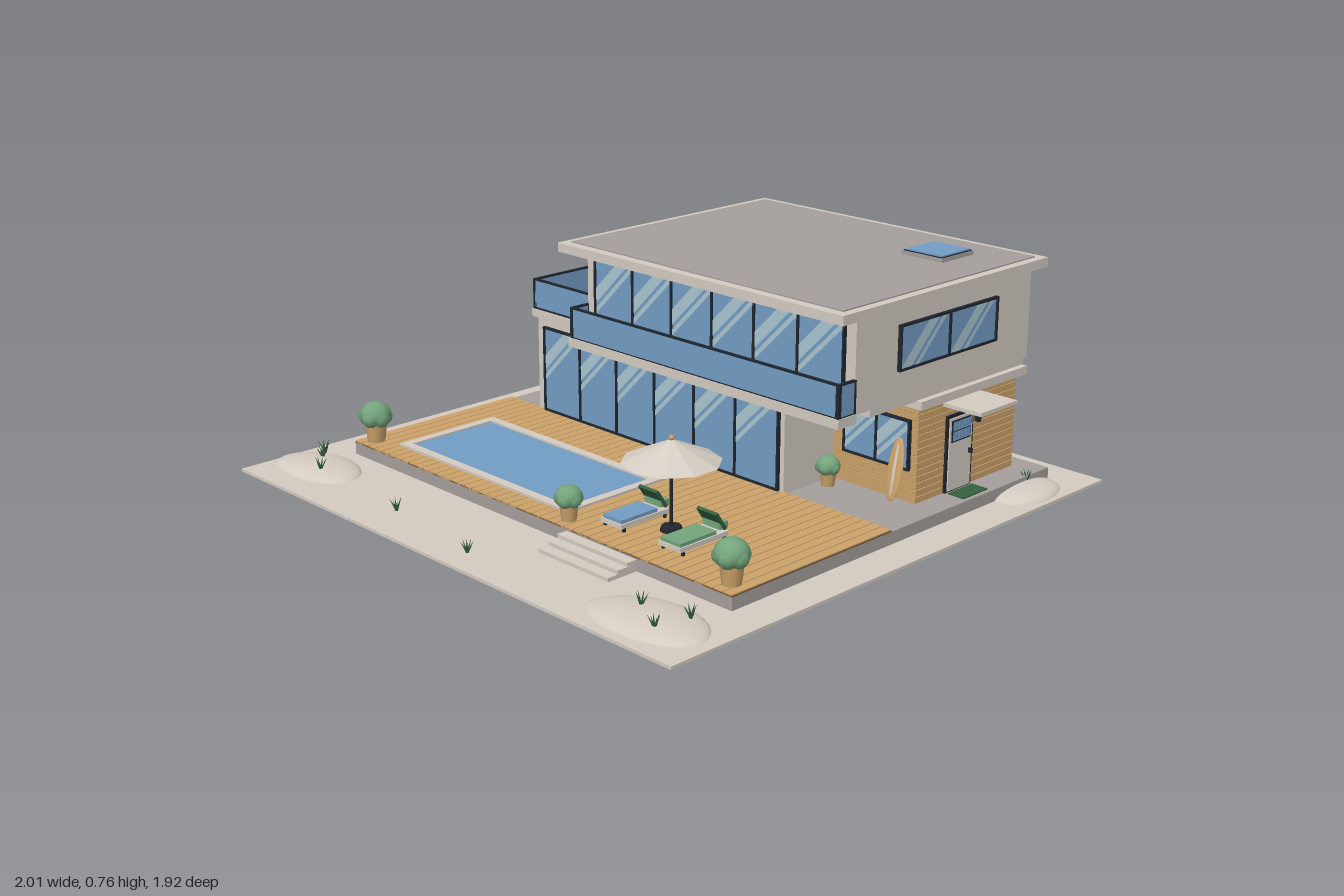
import * as THREE from 'three';

const mat = (name, color, side = THREE.FrontSide) => {
  const m = new THREE.MeshStandardMaterial({ color, side });
  m.name = name;
  return m;
};

export function createModel() {
  const M = {
    wall: mat('pale plaster', 0xd4ccc2),
    grey: mat('grey concrete', 0xa5a09d),
    wood: mat('wood', 0xcca26a),
    darkWood: mat('dark wood', 0x7a5a38),
    glass: mat('blue glass', 0x739cc4),
    shine: mat('glass reflection', 0xabc6cf, THREE.DoubleSide),
    frame: mat('dark frame', 0x20262e),
    green: mat('leaf green', 0x74a57c),
    darkGreen: mat('dark green', 0x35613f),
  };
  const root = new THREE.Group();
  root.name = 'house';
  const group = (name, parent = root) => {
    const g = new THREE.Group();
    g.name = name;
    parent.add(g);
    return g;
  };
  const add = (name, geo, m, x = 0, y = 0, z = 0, parent = root) => {
    const mesh = new THREE.Mesh(geo, m);
    mesh.name = name;
    mesh.position.set(x, y, z);
    parent.add(mesh);
    return mesh;
  };
  // box given by its minimum and maximum on each axis
  const box = (name, m, x0, x1, y0, y1, z0, z1, parent = root) =>
    add(name, new THREE.BoxGeometry(x1 - x0, y1 - y0, z1 - z0), m,
      (x0 + x1) / 2, (y0 + y1) / 2, (z0 + z1) / 2, parent);

  // keeps the part of a polygon where side * (y - x - u) >= 0
  const clip = (pts, u, side) => {
    const out = [], d = p => side * (p[1] - p[0] - u);
    pts.forEach((p, i) => {
      const q = pts[(i + 1) % pts.length], a = d(p), b = d(q);
      if (a >= 0) out.push(p);
      if (a * b < 0) out.push([p[0] + (q[0] - p[0]) * a / (a - b), p[1] + (q[1] - p[1]) * a / (a - b)]);
    });
    return out;
  };

  // row of panes with dark bars and diagonal reflections, facing local +z
  const windowRow = (name, w, h, n, x, y, z, turn = 0) => {
    const g = group(name);
    g.position.set(x, y, z);
    g.rotation.y = turn;
    const pw = w / n, t = 0.007;
    box('glass', M.glass, -w / 2, w / 2, 0, h, -0.004, 0.004, g);
    for (let i = 0; i <= n; i++) {
      const bx = -w / 2 + i * pw;
      box('bar', M.frame, bx - t / 2, bx + t / 2, 0, h, -0.004, 0.01, g);
    }
    for (const by of [0, h]) box('rail', M.frame, -w / 2 - t / 2, w / 2 + t / 2, by - t / 2, by + t / 2, -0.004, 0.01, g);
    const rect = [[0, 0], [pw, 0], [pw, h], [0, h]];
    for (let i = 0; i < n; i++)
      for (const [off, bw] of [[-pw * 0.7, 0.05], [-pw * 0.7 - 0.05, 0.02]]) {
        const poly = clip(clip(rect, h + off - bw / 2, 1), h + off + bw / 2, -1);
        if (poly.length < 3) continue;
        const shape = new THREE.Shape(poly.map(p => new THREE.Vector2(p[0], p[1])));
        add('reflection', new THREE.ShapeGeometry(shape), M.shine, -w / 2 + i * pw, 0, 0.0055, g);
      }
  };

  // planks running along z, over a dark base
  const planks = (name, x0, x1, y0, y1, z0, z1, n) => {
    const g = group(name), p = (x1 - x0) / n;
    box('base', M.darkWood, x0, x1, y0, y1 - 0.003, z0, z1, g);
    for (let i = 0; i < n; i++) box('plank', M.wood, x0 + i * p + 0.0015, x0 + (i + 1) * p - 0.0015, y0, y1, z0, z1, g);
  };

  // ground, plinth, deck, steps
  box('ground', M.wall, -1, 1, 0, 0.01, -0.96, 0.96);
  box('plinth', M.grey, -0.86, 0.875, 0.01, 0.05, -0.84, 0.61);
  box('backPath', M.wall, -0.57, 0.18, 0.005, 0.025, -0.962, -0.84);
  planks('deck', -0.86, 0.875, 0.05, 0.057, -0.06, 0.61, 48);
  for (let i = 0; i < 3; i++) box('step', M.wall, 0.2, 0.5, 0.01, 0.022 + i * 0.012, 0.61, 0.72 - i * 0.037);

  // pool
  box('poolWater', M.glass, -0.69, 0.1, 0.05, 0.059, 0.165, 0.515);
  box('poolRim', M.wall, -0.715, 0.12, 0.05, 0.065, 0.145, 0.175);
  box('poolRim', M.wall, -0.715, 0.12, 0.05, 0.065, 0.505, 0.535);
  box('poolRim', M.wall, -0.715, -0.685, 0.05, 0.065, 0.175, 0.505);
  box('poolRim', M.wall, 0.09, 0.12, 0.05, 0.065, 0.175, 0.505);

  // lower storey
  box('lowerWalls', M.wall, -0.7, 0.45, 0.05, 0.385, -0.78, -0.055);
  box('lowerSlab', M.wall, -0.72, 0.79, 0.385, 0.412, -0.79, -0.045);
  windowRow('lowerFrontWindows', 1.09, 0.293, 6, -0.115, 0.062, -0.053);
  windowRow('lowerBackWindows', 0.5, 0.16, 3, -0.37, 0.17, -0.782, Math.PI);
  windowRow('lowerLeftWindows', 0.5, 0.16, 2, -0.702, 0.17, -0.39, -Math.PI / 2);

  // timber wing
  box('wingCore', M.darkWood, 0.44, 0.779, 0.05, 0.36, -0.764, -0.286);
  const cladding = group('wingCladding');
  for (let i = 0; i < 14; i++) {
    const y = 0.05 + i * 0.022;
    box('board', M.wood, 0.44, 0.783, y, y + 0.0195, -0.768, -0.282, cladding);
  }
  box('wingRoof', M.wall, 0.45, 0.81, 0.36, 0.387, -0.785, -0.26);
  windowRow('wingWindow', 0.255, 0.155, 2, 0.628, 0.155, -0.28);

  // entrance
  const door = group('entrance');
  box('doorFrame', M.frame, 0.78, 0.79, 0.05, 0.3, -0.545, -0.415, door);
  box('doorLeaf', M.wall, 0.78, 0.794, 0.055, 0.29, -0.535, -0.425, door);
  box('doorLightFrame', M.frame, 0.78, 0.796, 0.212, 0.282, -0.527, -0.433, door);
  for (let i = 0; i < 3; i++)
    for (let j = 0; j < 2; j++) {
      const z = -0.523 + i * 0.029, y = 0.217 + j * 0.032;
      box('doorLight', M.glass, 0.78, 0.798, y, y + 0.028, z, z + 0.026, door);
    }
  box('doorHandle', M.frame, 0.79, 0.806, 0.16, 0.175, -0.528, -0.52, door);
  box('wallLamp', M.frame, 0.78, 0.8, 0.25, 0.29, -0.572, -0.56, door);
  box('canopy', M.wall, 0.78, 0.925, 0.335, 0.347, -0.58, -0.4, door);
  box('doormat', M.darkGreen, 0.8, 0.86, 0.05, 0.054, -0.54, -0.42, door);

  // upper storey
  box('upperWalls', M.wall, -0.345, 0.795, 0.41, 0.705, -0.8, 0.03);
  windowRow('upperFrontWindows', 1.056, 0.25, 6, 0.227, 0.425, 0.032);
  windowRow('upperRightWindows', 0.46, 0.135, 2, 0.797, 0.505, -0.39, Math.PI / 2);
  windowRow('upperBackWindows', 0.935, 0.14, 4, 0.212, 0.505, -0.802, Math.PI);
  windowRow('terraceDoors', 0.43, 0.25, 2, -0.347, 0.42, -0.295, -Math.PI / 2);

  // roof and skylight
  box('roof', M.wall, -0.375, 0.83, 0.703, 0.733, -0.835, 0.13);
  box('roofSurface', M.grey, -0.345, 0.802, 0.73, 0.737, -0.805, 0.098);
  box('skylightFrame', M.grey, 0.5, 0.657, 0.73, 0.75, -0.683, -0.527);
  box('skylightEdge', M.frame, 0.503, 0.654, 0.745, 0.752, -0.68, -0.53);
  box('skylightGlass', M.glass, 0.508, 0.649, 0.745, 0.756, -0.675, -0.535);

  // balcony and terrace
  box('balconySlab', M.wall, -0.36, 0.8, 0.385, 0.415, 0.025, 0.105);
  planks('terraceFloor', -0.685, -0.345, 0.41, 0.42, -0.76, -0.06, 12);
  const railing = (name, x0, x1, z0, z1) => {
    const g = group(name);
    box('panel', M.glass, x0, x1, 0.415, 0.514, z0, z1, g);
    for (const y of [0.412, 0.512]) box('rail', M.frame, x0 - 0.002, x1 + 0.002, y, y + 0.006, z0 - 0.002, z1 + 0.002, g);
    for (const x of [x0, x1]) for (const z of [z0, z1])
      box('post', M.frame, x - 0.003, x + 0.003, 0.412, 0.517, z - 0.003, z + 0.003, g);
  };
  railing('balconyFrontRailing', -0.35, 0.795, 0.094, 0.1);
  railing('balconyLeftRailing', -0.35, -0.344, 0.03, 0.1);
  railing('balconyRightRailing', 0.789, 0.795, 0.03, 0.1);
  railing('terraceLeftRailing', -0.714, -0.708, -0.775, -0.055);
  railing('terraceFrontRailing', -0.714, -0.35, -0.058, -0.052);

  // parasol
  const parasol = group('parasol');
  add('pole', new THREE.CylinderGeometry(0.005, 0.005, 0.28, 8), M.frame, 0.43, 0.195, 0.405, parasol);
  add('foot', new THREE.CylinderGeometry(0.03, 0.035, 0.015, 12), M.frame, 0.43, 0.064, 0.405, parasol);
  const canopyMat = M.wall.clone();
  canopyMat.side = THREE.DoubleSide;
  const shade = new THREE.ConeGeometry(0.15, 0.068, 10, 1, true);
  add('shade', shade.toNonIndexed(), canopyMat, 0.43, 0.306, 0.405, parasol).geometry.computeVertexNormals();
  add('tip', new THREE.SphereGeometry(0.009, 8, 6), M.wood, 0.43, 0.343, 0.405, parasol);

  // sun loungers
  for (const [x, pad] of [[0.305, M.glass], [0.55, M.green]]) {
    const g = group('lounger');
    box('bed', M.wall, x - 0.045, x + 0.045, 0.07, 0.084, 0.335, 0.53, g);
    box('mattress', pad, x - 0.04, x + 0.04, 0.084, 0.095, 0.38, 0.525, g);
    for (const sx of [-1, 1]) for (const z of [0.35, 0.515])
      box('leg', M.frame, x + sx * 0.04 - 0.004, x + sx * 0.04 + 0.004, 0.057, 0.07, z - 0.004, z + 0.004, g);
    const back = add('backrest', new THREE.BoxGeometry(0.08, 0.068, 0.01), M.darkGreen, x, 0.117, 0.36, g);
    back.rotation.x = 0.6;
    add('pillow', new THREE.BoxGeometry(0.07, 0.02, 0.035), M.green, x, 0.1, 0.345, g);
  }

  // surfboard leaning on the timber wall
  const board = group('surfboard');
  board.position.set(0.725, 0.155, -0.252);
  board.rotation.x = -0.2;
  const hull = new THREE.SphereGeometry(1, 20, 16);
  hull.scale(0.029, 0.1, 0.006);
  add('hull', hull, M.wood, 0, 0, 0, board);
  const stripe = new THREE.SphereGeometry(1, 12, 12);
  stripe.scale(0.009, 0.094, 0.0075);
  add('stripe', stripe, M.wall, 0, 0, 0, board);

  // potted bushes
  for (const [x, z, r, y0] of [[-0.81, 0.56, 0.052, 0.057], [0.16, 0.565, 0.042, 0.057], [0.82, 0.555, 0.052, 0.057], [0.49, -0.215, 0.038, 0.05]]) {
    const g = group('pottedBush');
    add('pot', new THREE.CylinderGeometry(r * 0.7, r * 0.55, r * 1.15, 12), M.wood, x, y0 + r * 0.575, z, g);
    add('bush', new THREE.SphereGeometry(r, 14, 10), M.green, x, y0 + r * 1.75, z, g).scale.y = 0.85;
    for (let i = 0; i < 5; i++) {
      const a = i * 1.257;
      add('leafClump', new THREE.SphereGeometry(r * 0.6, 8, 6), M.green, x + Math.cos(a) * r * 0.5, y0 + r * 1.6, z + Math.sin(a) * r * 0.5, g);
    }
  }

  // sand mounds with wavy outlines
  for (const [x, z, rx, rz] of [[-0.83, 0.775, 0.17, 0.115], [0.76, 0.81, 0.21, 0.12], [-0.86, -0.805, 0.12, 0.135], [0.885, -0.695, 0.105, 0.135]]) {
    const geo = new THREE.SphereGeometry(1, 28, 8, 0, Math.PI * 2, 0, Math.PI / 2), p = geo.attributes.position;
    for (let i = 0; i < p.count; i++) {
      const a = Math.atan2(p.getZ(i), p.getX(i)), k = 1 + 0.05 * Math.sin(2 * a + x * 5) + 0.03 * Math.sin(3 * a);
      p.setXYZ(i, p.getX(i) * k * rx, p.getY(i) * 0.032, p.getZ(i) * k * rz);
    }
    geo.computeVertexNormals();
    add('sandMound', geo, M.wall, x, 0.005, z);
  }

  // grass tufts
  const tufts = [[-0.35, 0.82, 0.01], [0.06, 0.87, 0.01], [-0.92, 0.69, 0.02], [-0.86, 0.74, 0.03], [-0.77, 0.81, 0.03],
    [0.71, 0.79, 0.03], [0.86, 0.75, 0.03], [0.83, 0.855, 0.025], [0.87, -0.73, 0.03], [-0.89, -0.82, 0.03]];
  for (const [x, z, y] of tufts) {
    const g = group('grassTuft');
    g.position.set(x, y, z);
    for (let i = 0; i < 6; i++) {
      const blade = new THREE.ConeGeometry(0.004, 0.045, 4);
      blade.translate(0, 0.0225, 0);
      add('blade', blade, M.darkGreen, 0, 0, 0, g).rotation.set(0, i * 1.05 + x * 7, 0.35 + 0.15 * (i % 2));
    }
  }
  return root;
}
